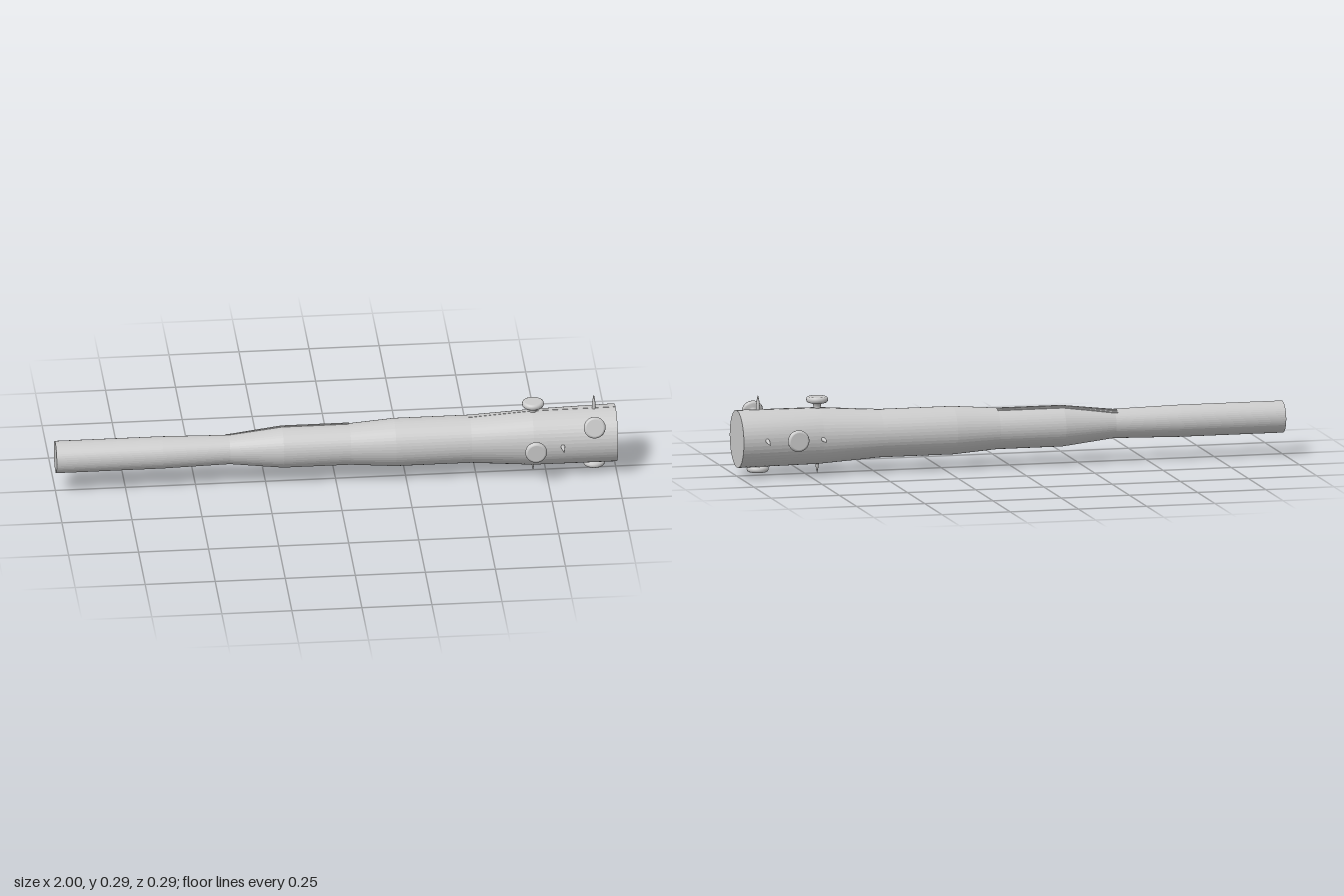
import * as THREE from 'three';

const AXIS_Y = 0.137;
// Club sections: x, radius up/down, radius front/back, z offset
const SECTIONS = [
  [-1, 0.057, 0.059, 0], [-0.62, 0.057, 0.058, 0], [-0.38, 0.052, 0.052, 0],
  [-0.19, 0.074, 0.073, -0.002], [0.05, 0.074, 0.073, -0.002], [0.21, 0.086, 0.084, -0.002],
  [0.48, 0.086, 0.084, -0.002], [0.7, 0.101, 0.092, 0.004], [1, 0.103, 0.103, -0.003],
];

// Section values at any x along the club
function sectionAt(x) {
  let i = 0;
  while (i < SECTIONS.length - 2 && SECTIONS[i + 1][0] < x) i++;
  const a = SECTIONS[i], b = SECTIONS[i + 1];
  const t = THREE.MathUtils.clamp((x - a[0]) / (b[0] - a[0]), 0, 1);
  return a.map((v, k) => THREE.MathUtils.lerp(v, b[k], t));
}

// Thin splint following the top of the club
function splint(x0, x1, z, width, lift) {
  const geo = new THREE.BoxGeometry(x1 - x0, 0.02, width, 24, 1, 1);
  geo.translate((x0 + x1) / 2, 0, z);
  const p = geo.attributes.position;
  for (let i = 0; i < p.count; i++) {
    const [, ry, rz, cz] = sectionAt(p.getX(i));
    const s = (p.getZ(i) - cz) / rz;
    const top = AXIS_Y + ry * Math.sqrt(1 - s * s);
    p.setY(i, top + (p.getY(i) > 0 ? lift : -0.012));
  }
  geo.computeVertexNormals();
  return geo;
}

export function createModel() {
  const model = new THREE.Group();
  const smooth = new THREE.MeshStandardMaterial({ color: 0xcccccc });
  const faceted = new THREE.MeshStandardMaterial({ color: 0xcccccc, flatShading: true });

  function add(name, geo, material) {
    const mesh = new THREE.Mesh(geo, material);
    mesh.name = name;
    model.add(mesh);
    return mesh;
  }

  // Club shaft: closed lathe laid along x, squeezed section by section
  const outline = [[-1, 0], ...SECTIONS, [1, 0]].map(([x, r]) => new THREE.Vector2(r, x));
  const shaft = new THREE.LatheGeometry(outline, 48);
  shaft.rotateZ(-Math.PI / 2);
  const p = shaft.attributes.position;
  for (let i = 0; i < p.count; i++) {
    const [, ry, rz, cz] = sectionAt(p.getX(i));
    p.setY(i, p.getY(i) + AXIS_Y);
    p.setZ(i, p.getZ(i) * rz / ry + cz);
  }
  add('clubShaft', shaft, faceted);

  // Splints on the top surface
  add('rearSplintEdge', splint(-0.39, 0.05, -0.028, 0.006, 0.003), faceted);
  add('rearSplintEdge', splint(-0.39, 0.05, -0.017, 0.006, 0.003), faceted);
  add('headSplint', splint(0.47, 1, -0.002, 0.004, 0.001), faceted);

  // Places a part that grows along +y at the given outer point and direction
  const up = new THREE.Vector3(0, 1, 0);
  function place(mesh, tip, dir) {
    mesh.position.set(...tip);
    mesh.quaternion.setFromUnitVectors(up, new THREE.Vector3(...dir).normalize());
  }

  // Round-headed nails: origin at the outer face of the head
  const nail = new THREE.LatheGeometry([
    [0.012, -0.07], [0.012, -0.04], [0.015, -0.027], [0.022, -0.022], [0.033, -0.021],
    [0.038, -0.016], [0.039, -0.009], [0.037, -0.003], [0.032, 0], [0.03, 0], [0, 0],
  ].map(([r, y]) => new THREE.Vector2(r, y)), 28);
  const nails = [
    [[0.705, 0.278, 0], [0, 1, 0]],
    [[0.705, 0.135, 0.132], [0, 0, 1]],
    [[0.803, 0.14, -0.131], [0, 0, -1]],
    [[0.923, 0.016, 0], [0, -1, 0]],
    [[0.915, 0.221, 0.119], [0, 0.32, 0.95]],
  ];
  for (const [tip, dir] of nails) place(add('nailHead', nail, smooth), tip, dir);

  // Nail points: origin at the tip
  const point = new THREE.LatheGeometry([
    [0.007, -0.075], [0.007, -0.04], [0.005, -0.022], [0.002, -0.006], [0, 0],
  ].map(([r, y]) => new THREE.Vector2(r, y)), 14);
  const points = [
    [[0.922, 0.292, 0], [0, 1, 0]],
    [[0.705, 0.003, 0], [0, -1, 0]],
    [[0.803, 0.141, 0.146], [0, 0, 1]],
    [[0.705, 0.135, -0.145], [0, -0.05, -1]],
    [[0.912, 0.131, -0.145], [0, -0.25, -1]],
  ];
  for (const [tip, dir] of points) place(add('nailPoint', point, smooth), tip, dir);

  return model;
}
